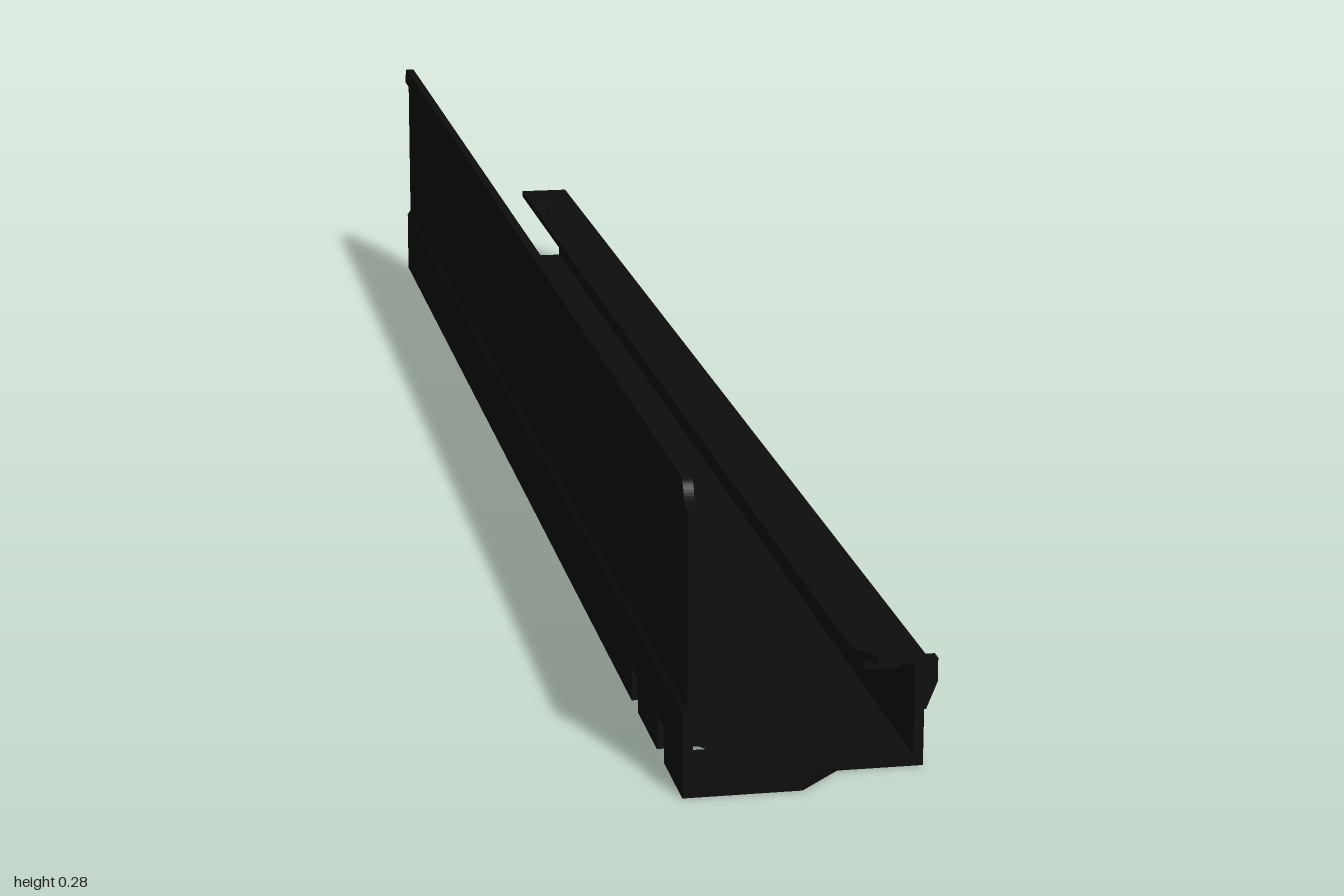
import * as THREE from 'three';

const black = new THREE.MeshStandardMaterial({ color: 0x0d0d0d });
black.name = 'black';

const shapeOf = (points) => new THREE.Shape(points.map(([a, b]) => new THREE.Vector2(a, b)));

function add(group, name, geometry) {
  const mesh = new THREE.Mesh(geometry, black);
  mesh.name = name;
  group.add(mesh);
}

// Runs an x-y cross-section from z0 to z1.
function run(group, name, points, z0, z1) {
  const g = new THREE.ExtrudeGeometry(shapeOf(points), { depth: z1 - z0, bevelEnabled: false });
  add(group, name, g.translate(0, 0, z0));
}

// Lays an x-z plan flat between y0 and y1.
function plate(group, name, shape, y0, y1) {
  const g = new THREE.ExtrudeGeometry(shape, { depth: y1 - y0, bevelEnabled: false });
  add(group, name, g.rotateX(Math.PI / 2).translate(0, y1, 0));
}

const rect = (x0, y0, x1, y1) => [[x0, y0], [x1, y0], [x1, y1], [x0, y1]];

export function createModel() {
  const model = new THREE.Group();
  model.name = 'channelRail';

  // Tall wall with a shallow jog near its foot and its top
  run(model, 'tallWall', [
    [-0.12, 0.045], [-0.111, 0.045], [-0.111, 0.075], [-0.107, 0.082], [-0.107, 0.26],
    [-0.111, 0.265], [-0.12, 0.265], [-0.12, 0.262], [-0.116, 0.256], [-0.116, 0.082], [-0.12, 0.076],
  ], -1, 1);

  // Upper edge with rounded ends
  const r = 0.02;
  const edge = new THREE.Shape();
  edge.moveTo(-1, 0.262);
  edge.lineTo(1, 0.262);
  edge.lineTo(1, 0.283 - r);
  edge.quadraticCurveTo(1, 0.283, 1 - r, 0.283);
  edge.lineTo(-1 + r, 0.283);
  edge.quadraticCurveTo(-1, 0.283, -1, 0.283 - r);
  add(model, 'topEdge', new THREE.ExtrudeGeometry(edge, { depth: 0.009, bevelEnabled: false })
    .rotateY(-Math.PI / 2).translate(-0.111, 0, 0));

  // Bottom corner, interrupted by two pressed-in gussets
  const corner = [[-0.12, 0], [-0.045, 0], [-0.045, 0.01], [-0.111, 0.01], [-0.111, 0.045], [-0.12, 0.045]];
  for (const [z0, z1] of [[-1, 0.757], [0.79, 0.882], [0.915, 1]]) run(model, 'bottomCorner', corner, z0, z1);
  const gusset = [
    [-0.12, 0.045], [-0.12, 0.033], [-0.105, 0.02], [-0.06, 0], [-0.045, 0],
    [-0.045, 0.01], [-0.098, 0.033], [-0.111, 0.045],
  ];
  for (const z of [0.757, 0.882]) run(model, 'gusset', gusset, z, z + 0.033);

  // Floor with a stepped front corner
  plate(model, 'floor', shapeOf([
    [-0.045, -1], [0.102, -1], [0.102, 0.96], [0.025, 0.96], [-0.015, 1], [-0.045, 1],
  ]), 0, 0.01);

  // Low wall and its inward lip, with a slot near the back
  run(model, 'lowWall', rect(0.093, 0.01, 0.102, 0.095), -1, 0.96);
  const lip = shapeOf([[0.042, -1], [0.102, -1], [0.102, 0.96], [0.06, 0.96], [0.042, 0.93]]);
  lip.holes.push(new THREE.Path(rect(0.047, -0.9, 0.06, -0.87).map(([x, z]) => new THREE.Vector2(x, z))));
  plate(model, 'lip', lip, 0.095, 0.103);

  // Stiffening blocks under the lip ends
  for (const z of [-0.9, 0.9]) run(model, 'lipBlock', rect(0.06, 0.073, 0.093, 0.095), z - 0.01, z + 0.01);

  // Outer catch near the front
  run(model, 'catch', [[0.102, 0.043], [0.11, 0.043], [0.12, 0.068], [0.12, 0.09], [0.102, 0.09]], 0.925, 0.937);

  // Small hooked clip inside the channel
  run(model, 'hookClip', [
    [-0.024, 0.032], [0, 0.032], [0, 0.065], [0.022, 0.065], [0.022, 0.08], [-0.024, 0.08],
  ], -0.165, -0.135);

  return model;
}
